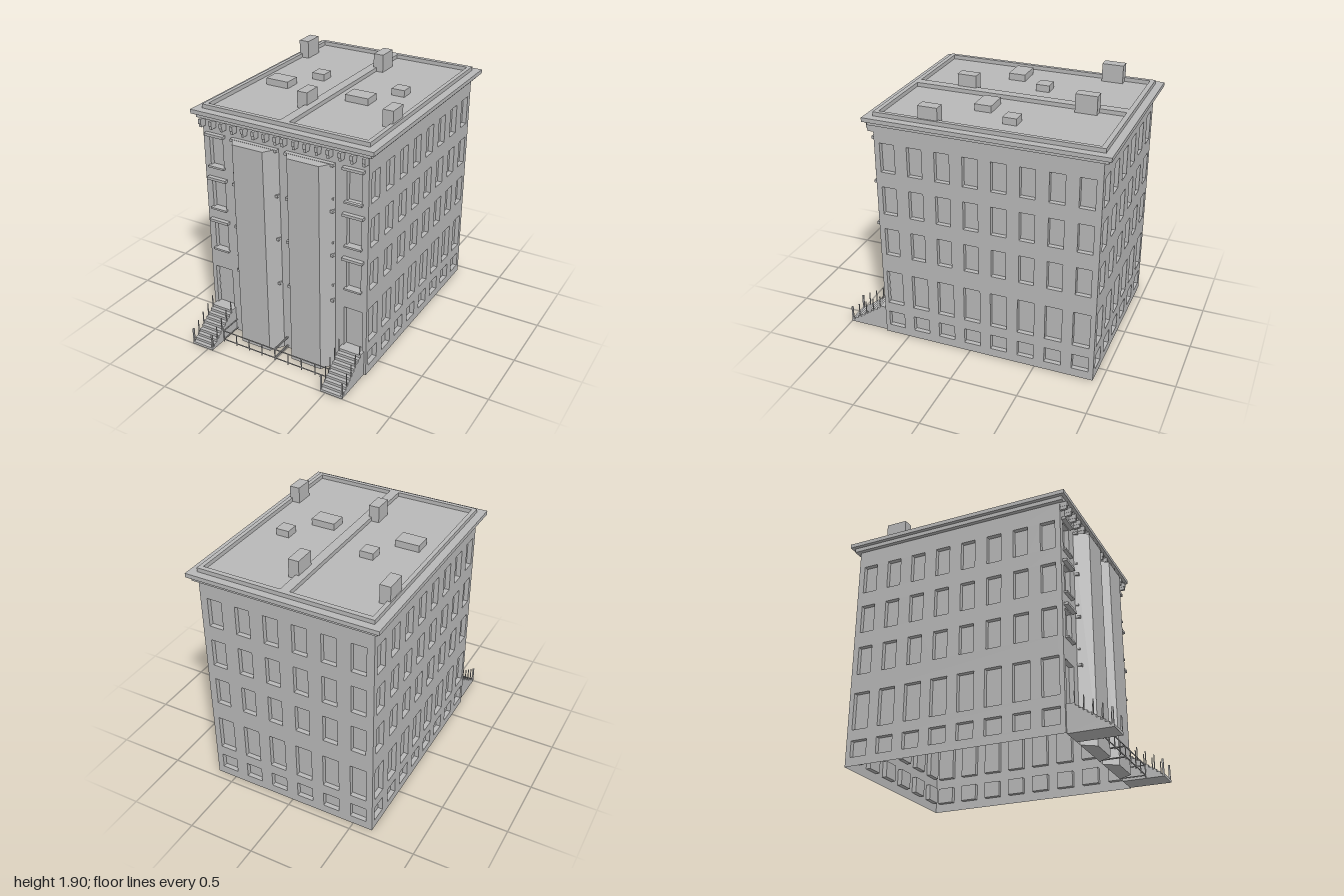
import * as THREE from 'three';
import { mergeGeometries } from 'three/addons/utils/BufferGeometryUtils.js';

const stone = new THREE.MeshStandardMaterial({ color: 0xb8b8b8, side: THREE.DoubleSide });
stone.name = 'grey stone';

// Box given by its limits on each axis
function span(x0, x1, y0, y1, z0, z1) {
  return new THREE.BoxGeometry(x1 - x0, y1 - y0, z1 - z0)
    .translate((x0 + x1) / 2, (y0 + y1) / 2, (z0 + z1) / 2);
}

function rect(target, x0, x1, y0, y1) {
  target.moveTo(x0, y0);
  target.lineTo(x1, y0);
  target.lineTo(x1, y1);
  target.lineTo(x0, y1);
  target.closePath();
  return target;
}

// Thin wall facing +z with open-fronted recesses behind its openings [x, width, y0, y1]
function wall(width, openings, depth = 0.035) {
  const shape = rect(new THREE.Shape(), -width / 2, width / 2, 0, 1.71);
  const recesses = [];
  for (const [x, w, y0, y1] of openings) {
    shape.holes.push(rect(new THREE.Path(), x - w / 2, x + w / 2, y0, y1));
    const box = span(x - w / 2, x + w / 2, y0, y1, -depth, 0);
    const index = Array.from(box.index.array);
    index.splice(24, 6); // leave out the front face
    box.setIndex(index);
    recesses.push(box);
  }
  return mergeGeometries([new THREE.ShapeGeometry(shape), ...recesses]);
}

// Storeys: [window width, sill height, head height]
const upper = [[0.11, 0.685, 0.9], [0.11, 1.02, 1.235], [0.11, 1.35, 1.57]];
const storeys = [[0.125, 0.065, 0.185], [0.125, 0.265, 0.54], ...upper];
const LEFT = 0.65, FRONT = 0.69, BACK = -0.94;
const DEPTH = FRONT - BACK, MIDZ = (FRONT + BACK) / 2;

function windowRows(rows, columns) {
  return rows.flatMap(([w, y0, y1]) => columns.map(x => [x, w, y0, y1]));
}

export function createModel() {
  const model = new THREE.Group();
  model.name = 'townhouse';
  const add = (name, geometry, parent = model) => {
    const mesh = new THREE.Mesh(geometry, stone);
    mesh.name = name;
    parent.add(mesh);
    return mesh;
  };

  // Walls
  const sideColumns = Array.from({ length: 8 }, (_, i) => (i - 3.5) * 0.205);
  const backColumns = Array.from({ length: 6 }, (_, i) => (i - 2.5) * 0.216);
  for (const s of [1, -1]) {
    const columns = sideColumns.map(z => z - s * 0.002);
    const side = add(s > 0 ? 'leftWall' : 'rightWall', wall(DEPTH, windowRows(storeys, columns)));
    side.rotation.y = s * Math.PI / 2;
    side.position.set(s * LEFT, 0, MIDZ);
  }
  const back = add('backWall', wall(2 * LEFT, windowRows(storeys, backColumns)));
  back.rotation.y = Math.PI;
  back.position.z = BACK;

  const frontOpenings = [
    ...windowRows(upper, [-0.545, 0.545]),
    ...windowRows(storeys, [-0.31, -0.125, 0.125, 0.31]),
    [-0.545, 0.145, 0.2, 0.52], [0.545, 0.145, 0.2, 0.52],
  ];
  add('frontWall', wall(2 * LEFT, frontOpenings)).position.z = FRONT;

  // Lintels and sills
  const trim = [];
  for (const [, y0, y1] of upper) {
    for (const x of [-0.545, 0.545]) {
      trim.push(span(x - 0.078, x + 0.078, y1 + 0.01, y1 + 0.03, FRONT, 0.722));
      trim.push(span(x - 0.065, x + 0.065, y0 - 0.01, y0 + 0.004, FRONT, 0.715));
    }
  }
  for (const s of [1, -1]) {
    const bar = (a, b, y0, y1, z) =>
      trim.push(span(Math.min(s * a, s * b), Math.max(s * a, s * b), y0, y1, FRONT, z));
    for (const [, y0, y1] of storeys.slice(1)) {
      bar(0.03, 0.405, y1 + 0.012, y1 + 0.032, 0.722);
      if (y0 > 0.5) bar(0.05, 0.4, y0 - 0.01, y0 + 0.004, 0.712);
    }
  }
  add('lintelsAndSills', mergeGeometries(trim));

  // Full-height bays with slanted cheeks
  for (const s of [1, -1]) {
    const plan = new THREE.Shape();
    plan.moveTo(s * 0.03, -FRONT);
    plan.lineTo(s * 0.095, -0.79);
    plan.lineTo(s * 0.338, -0.79);
    plan.lineTo(s * 0.403, -FRONT);
    plan.closePath();
    const bay = new THREE.ExtrudeGeometry(plan, { depth: 1.6, bevelEnabled: false });
    add(s > 0 ? 'leftBay' : 'rightBay', bay.rotateX(-Math.PI / 2));
  }

  // Cornice, brackets and parapet
  add('lowerCornice', span(-0.68, 0.68, 1.705, 1.735, -0.975, 0.72));
  add('upperCornice', span(-0.708, 0.708, 1.735, 1.765, -1, 0.745));
  const brackets = [];
  for (const s of [1, -1]) {
    for (let i = 0; i < 8; i++) {
      const x = s * (0.028 + i * 0.0868);
      brackets.push(span(x - 0.011, x + 0.011, 1.67, 1.705, FRONT, 0.745));
      brackets.push(span(x - 0.009, x + 0.009, 1.645, 1.67, FRONT, 0.738));
    }
  }
  add('corniceBrackets', mergeGeometries(brackets));

  const rim = rect(new THREE.Shape(), -0.65, 0.65, -0.685, 0.945);
  rim.holes.push(rect(new THREE.Path(), -0.62, -0.035, -0.653, 0.91));
  rim.holes.push(rect(new THREE.Path(), 0.035, 0.62, -0.653, 0.91));
  const parapet = new THREE.ExtrudeGeometry(rim, { depth: 0.03, bevelEnabled: false });
  add('parapet', parapet.rotateX(-Math.PI / 2).translate(0, 1.765, 0));

  // Chimneys and roof hatches, repeated on each half
  for (const dx of [0, 0.654]) {
    const half = new THREE.Group();
    half.name = dx ? 'leftRoofItems' : 'rightRoofItems';
    half.position.x = dx;
    model.add(half);
    add('rearChimney', span(-0.643, -0.565, 1.765, 1.9, -0.72, -0.562), half);
    add('frontChimney', span(-0.093, -0.015, 1.765, 1.885, 0.21, 0.352), half);
    add('smallHatch', span(-0.297, -0.197, 1.765, 1.815, -0.28, -0.18), half);
    add('largeHatch', span(-0.523, -0.343, 1.765, 1.815, -0.04, 0.085), half);
  }

  // Entrance stairs with baluster posts
  const profile = new THREE.Shape();
  profile.moveTo(FRONT, 0);
  profile.lineTo(1, 0);
  const steps = 10;
  for (let i = 0; i < steps; i++) {
    const z = 1 - i * 0.0285;
    profile.lineTo(z, (i + 1) * 0.02);
    profile.lineTo(i < steps - 1 ? z - 0.0285 : FRONT, (i + 1) * 0.02);
  }
  profile.closePath();
  for (const s of [1, -1]) {
    const stair = new THREE.Group();
    stair.name = s > 0 ? 'leftStair' : 'rightStair';
    stair.position.x = s * 0.547;
    model.add(stair);
    const flight = new THREE.ExtrudeGeometry(profile, { depth: 0.174, bevelEnabled: false });
    add('steps', flight.rotateY(-Math.PI / 2).translate(0.087, 0, 0), stair);
    const posts = [];
    for (const x of [-0.083, 0.083]) {
      for (let i = 0; i < 5; i++) {
        const z = 0.992 - i * 0.0615, r = i ? 0.003 : 0.006;
        const foot = 0.01 + i * 0.04;
        posts.push(span(x - r, x + r, foot, 0.13 + i * 0.0375, z - r, z + r));
      }
    }
    add('stairPosts', mergeGeometries(posts), stair);
  }

  // Front yard fence
  const fence = [];
  const r = 0.003, zf = 0.865;
  for (const y of [0.02, 0.095]) {
    fence.push(span(-0.45, 0.45, y - r, y + r, zf - r, zf + r));
    for (const x of [-0.45, -0.005, 0.005, 0.45]) {
      fence.push(span(x - r, x + r, y - r, y + r, FRONT, zf));
    }
  }
  for (let i = -4; i <= 4; i++) {
    const x = i * 0.1125;
    fence.push(span(x - r, x + r, 0, 0.095, zf - r, zf + r));
  }
  add('yardFence', mergeGeometries(fence));

  return model;
}
